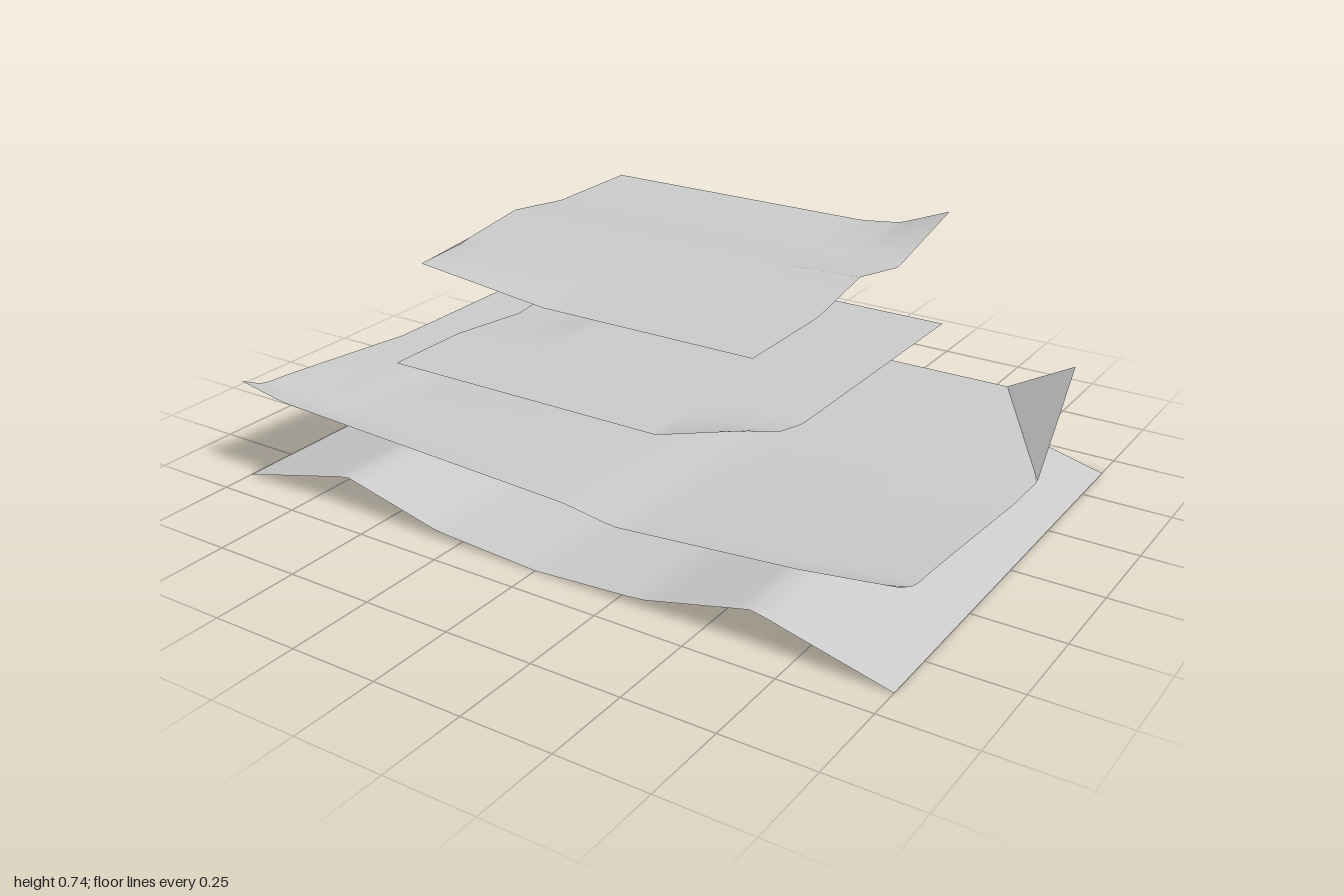
import * as THREE from 'three';

const paper = new THREE.MeshStandardMaterial({ color: 0xcccccc, side: THREE.DoubleSide });

// Piecewise-linear curve through [position, value] points
function lerpCurve(points, t) {
  if (t <= points[0][0]) return points[0][1];
  for (let i = 1; i < points.length; i++) {
    const [a, va] = points[i - 1], [b, vb] = points[i];
    if (t <= b) return va + (vb - va) * (t - a) / (b - a);
  }
  return points[points.length - 1][1];
}

// Thin sheet: height(x, z) bends it, trim(x, z) pulls x back to a fold line
function sheet(name, width, depth, height, trim = (x) => x) {
  const geo = new THREE.PlaneGeometry(width, depth, 48, 40).rotateX(-Math.PI / 2);
  const pos = geo.attributes.position;
  for (let i = 0; i < pos.count; i++) {
    const z = pos.getZ(i);
    const x = trim(pos.getX(i), z);
    pos.setXYZ(i, x, height(x, z), z);
  }
  geo.computeVertexNormals();
  const mesh = new THREE.Mesh(geo, paper);
  mesh.name = name;
  return mesh;
}

// Triangular turned-up corner
function flap(name, a, b, c) {
  const geo = new THREE.BufferGeometry();
  geo.setAttribute('position', new THREE.Float32BufferAttribute([...a, ...b, ...c], 3));
  geo.computeVertexNormals();
  const mesh = new THREE.Mesh(geo, paper);
  mesh.name = name;
  return mesh;
}

export function createModel() {
  const model = new THREE.Group();
  model.name = 'paperSheets';

  // Bottom sheet: two waves across its width
  const wave = [[0, 0], [0.32, 0.019], [0.63, 0.092], [1, 0]];
  model.add(sheet('bottomSheet', 2, 1.31, (x) => lerpCurve(wave, Math.abs(x))));

  // Second sheet: front edge lifted at both ends, back left corner turned up
  const low = [[-1, 0.203], [-0.8, 0.203], [-0.7, 0.19], [-0.25, 0.2], [0.1, 0.203], [0.28, 0.193], [0.7, 0.195], [1, 0.19]];
  const high = [[-1, 0.285], [-0.85, 0.258], [0.1, 0.217], [0.24, 0.195], [0.75, 0.235], [1, 0.267]];
  const lift = [[0, 0], [0.47, 0.5], [0.58, 0.58], [0.655, 1]];
  const secondHeight = (x, z) => THREE.MathUtils.lerp(lerpCurve(low, x), lerpCurve(high, x), lerpCurve(lift, z));
  const secondFold = [[-0.655, 0.7], [-0.14, 1]];
  model.add(sheet('secondSheet', 2, 1.31, secondHeight, (x, z) => Math.min(x, lerpCurve(secondFold, z))));
  model.add(flap('secondSheetCorner',
    [0.7, secondHeight(0.7, -0.655), -0.655], [1, secondHeight(1, -0.14), -0.14], [0.91, 0.32, -0.61]));

  // Third sheet: two raised opposite corners, a dip on one edge, a small bump at the back
  const steep = [[0.27, 0], [0.4, 0.35], [0.545, 1]];
  const slow = [[0.28, 0], [0.4, 0.32], [0.525, 1]];
  const third = (x, z) => 0.397
    + 0.153 * lerpCurve(steep, -x) * lerpCurve([[0.27, 0], [0.4, 0.35], [0.525, 1]], -z)
    + 0.078 * lerpCurve([[0.28, 0], [0.545, 1]], x) * lerpCurve(slow, z)
    - 0.027 * lerpCurve([[0.27, 0], [0.4, 0.75], [0.545, 1]], -x) * Math.max(0, 1 - Math.abs(z) / 0.27)
    + 0.022 * Math.max(0, 1 - Math.abs(x + 0.14) / 0.13) * lerpCurve([[0.27, 0], [0.525, 1]], -z);
  model.add(sheet('thirdSheet', 1.09, 1.05, third));

  // Top sheet: central ridge, raised back corner, front corner folded over
  const ridge = [[-0.545, 0.027], [0.3, 0.029], [0.545, 0.038]];
  const top = (x, z) => 0.655
    + lerpCurve(ridge, x) * Math.max(0, 1 - Math.abs(z) / 0.215)
    + 0.07 * lerpCurve([[0.28, 0], [0.4, 0.2], [0.545, 1]], x) * lerpCurve([[0.22, 0], [0.525, 1]], -z)
    + 0.042 * lerpCurve([[0.05, 0], [0.44, 1]], -x) * lerpCurve([[0.2, 0], [0.525, 1]], z);
  const topFold = [[0.2, -0.545], [0.525, -0.435]];
  model.add(sheet('topSheet', 1.09, 1.05, top, (x, z) => Math.max(x, lerpCurve(topFold, z))));
  model.add(flap('topSheetCorner',
    [-0.545, top(-0.545, 0.2), 0.2], [-0.435, top(-0.435, 0.525), 0.525], [-0.36, 0.743, 0.45]));

  return model;
}
